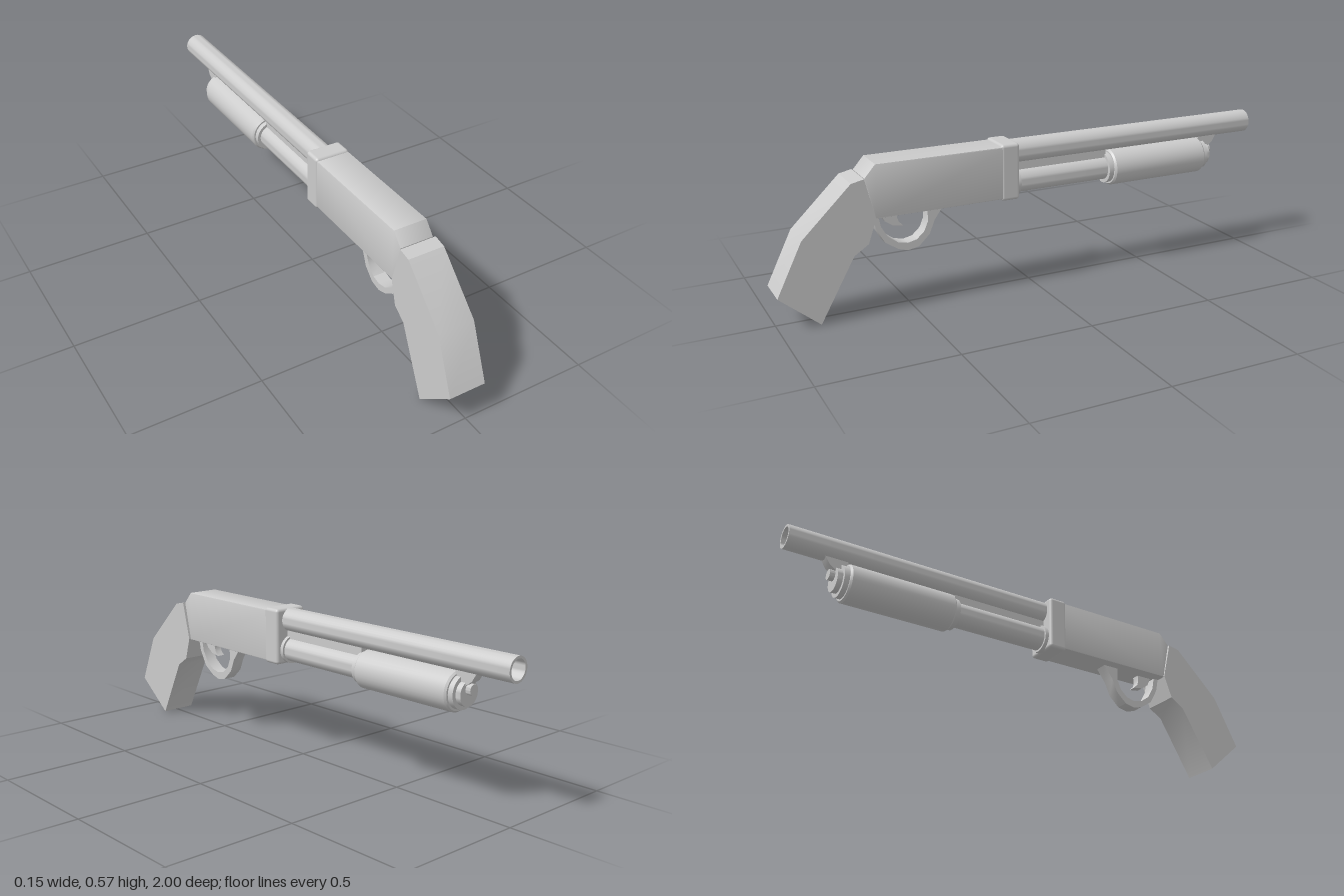
import * as THREE from 'three';
import { toCreasedNormals } from 'three/addons/utils/BufferGeometryUtils.js';
import { RoundedBoxGeometry } from 'three/addons/geometries/RoundedBoxGeometry.js';

const material = new THREE.MeshStandardMaterial({ color: 0xcccccc });

function add(group, name, geometry, x = 0, y = 0, z = 0) {
  const mesh = new THREE.Mesh(geometry, material);
  mesh.name = name;
  mesh.position.set(x, y, z);
  group.add(mesh);
  return mesh;
}

// Extrude a side outline of [z, y] points across the width, centred on x = 0
function sidePlate(points, width, bevel = 0) {
  const shape = new THREE.Shape(points.map(([z, y]) => new THREE.Vector2(z, y)));
  const geometry = new THREE.ExtrudeGeometry(shape, {
    depth: width - 2 * bevel, bevelEnabled: bevel > 0, bevelThickness: bevel,
    bevelSize: bevel, bevelOffset: -bevel, bevelSegments: 2,
  });
  geometry.translate(0, 0, -width / 2 + bevel).rotateY(-Math.PI / 2);
  return toCreasedNormals(geometry, 0.5);
}

// Turn a profile of [radius, z] points, running towards -z, about the z axis
function turned(points, segments = 32) {
  const profile = points.map(([r, z]) => new THREE.Vector2(r, -z));
  const geometry = new THREE.LatheGeometry(profile, segments).rotateX(-Math.PI / 2);
  return toCreasedNormals(geometry, 0.6);
}

export function createModel() {
  const model = new THREE.Group();

  // Stock, leaning slightly to one side towards the butt
  const stock = sidePlate([
    [0.635, 0.37], [0.672, 0.52], [0.72, 0.51], [0.905, 0.33], [1, 0.13],
    [0.85, 0.003], [0.72, 0.243], [0.665, 0.28],
  ], 0.142);
  const pos = stock.attributes.position;
  for (let i = 0; i < pos.count; i++) {
    const y = pos.getY(i);
    pos.setX(i, pos.getX(i) - 0.0085 + 0.0125 * Math.min(1, y / 0.35));
  }
  add(model, 'stock', stock);

  // Receiver and the collar at its front
  add(model, 'receiver', sidePlate([
    [0.1, 0.367], [0.1, 0.567], [0.628, 0.567], [0.669, 0.52], [0.635, 0.367],
  ], 0.132, 0.004), 0.002);
  add(model, 'collar', new RoundedBoxGeometry(0.138, 0.216, 0.075, 3, 0.012), 0.001, 0.467, 0.107);

  // Hollow barrel
  add(model, 'barrel', turned([
    [0.045, 0.08], [0.045, -1], [0.036, -1], [0.036, -0.5], [0, -0.5],
  ]), 0, 0.53);

  // Magazine tube with a flange against the collar and a stepped end cap
  add(model, 'magazineTube', turned([
    [0.055, 0.08], [0.055, 0.055], [0.047, 0.055], [0.047, -0.765],
    [0.06, -0.765], [0.06, -0.79], [0.045, -0.79], [0.045, -0.81], [0, -0.81],
  ]), 0, 0.414);

  // Sliding fore grip with a rear ring
  add(model, 'foreGrip', turned([
    [0.04, -0.325], [0.06, -0.325], [0.06, -0.345], [0.066, -0.345], [0.072, -0.352],
    [0.072, -0.763], [0.066, -0.77], [0, -0.77],
  ]), 0.001, 0.413);

  // Rail between barrel and magazine tube
  add(model, 'rail', new THREE.BoxGeometry(0.035, 0.045, 0.41), 0, 0.474, -0.125);

  // Clip joining the magazine cap to the barrel
  add(model, 'barrelClip', sidePlate([
    [-0.765, 0.495], [-0.855, 0.495], [-0.835, 0.462], [-0.805, 0.44], [-0.765, 0.44],
  ], 0.04));
  add(model, 'capNub', turned([[0.02, -0.8], [0.02, -0.83], [0, -0.83]], 12), 0, 0.43);

  // Trigger guard: outer arc, then back along the inner arc
  add(model, 'triggerGuard', sidePlate([
    [0.635, 0.375], [0.622, 0.315], [0.59, 0.257], [0.54, 0.224], [0.503, 0.213],
    [0.46, 0.222], [0.418, 0.262], [0.396, 0.315], [0.353, 0.375],
    [0.425, 0.375], [0.422, 0.315], [0.438, 0.277], [0.468, 0.25], [0.503, 0.242],
    [0.54, 0.25], [0.578, 0.277], [0.603, 0.32], [0.613, 0.375],
  ], 0.05));

  // Curved trigger
  add(model, 'trigger', sidePlate([
    [0.605, 0.375], [0.585, 0.335], [0.555, 0.314], [0.515, 0.308],
    [0.532, 0.325], [0.538, 0.345], [0.535, 0.375],
  ], 0.03));

  return model;
}
